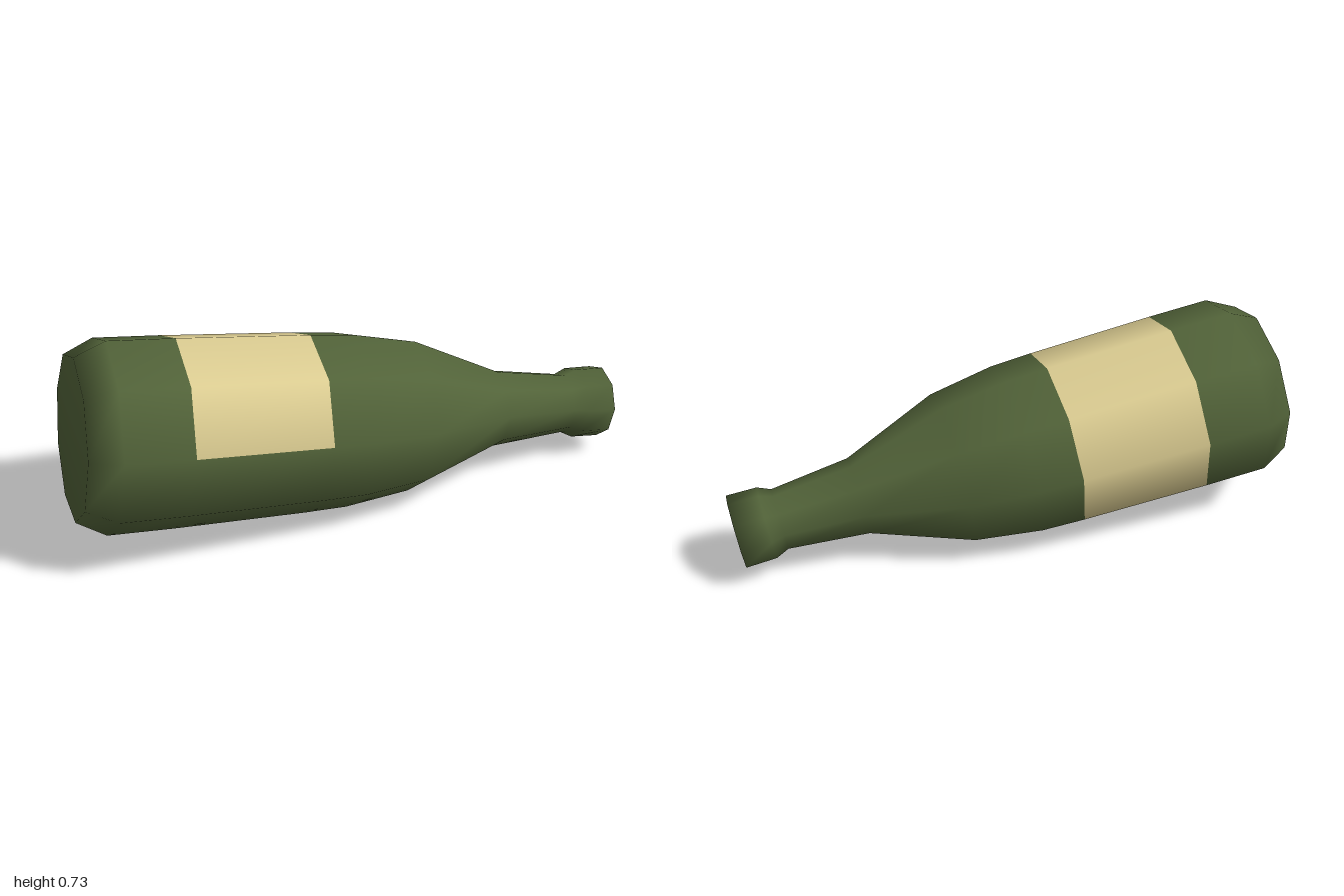
import * as THREE from 'three';

const SIDES = 9;
const CENTRE = new THREE.Vector3(-0.843, 0.409, -0.061); // middle of the widest ring
const AXIS = new THREE.Vector3(0.978, -0.128, 0.166).normalize();

// Profile as [x position of ring centre, radius], from base to mouth
const PROFILE = [
  [-0.942, 0], [-0.942, 0.28],          // base
  [-0.843, 0.332],                      // base bevel
  [-0.622, 0.33], [-0.171, 0.319],      // label edges
  [-0.02, 0.312], [0.21, 0.275],        // shoulder
  [0.545, 0.14], [0.82, 0.11],          // neck
  [0.865, 0.13], [0.97, 0.132],         // lip
  [0.97, 0],                            // mouth
];
const LABEL_BAND = 3;   // profile band that carries the label
const BARE_SIDES = 2;   // sides of that band left without label

export function createModel() {
  const glass = new THREE.MeshStandardMaterial({ color: 0x526339 });
  glass.name = 'greenGlass';
  const paper = new THREE.MeshStandardMaterial({ color: 0xdccd92 });
  paper.name = 'labelPaper';

  // Smooth nine-sided body, turned around its own axis
  const points = PROFILE.map(([x, r]) => new THREE.Vector2(r, (x - CENTRE.x) / AXIS.x));
  const geometry = new THREE.LatheGeometry(points, SIDES, THREE.MathUtils.degToRad(-12.4));

  // Label wraps all but two sides of its band
  const bands = PROFILE.length - 1;
  for (let side = 0; side < SIDES; side++) {
    const start = side * bands * 6;
    const labelled = side >= BARE_SIDES ? 1 : 0;
    geometry.addGroup(start, LABEL_BAND * 6, 0);
    geometry.addGroup(start + LABEL_BAND * 6, 6, labelled);
    geometry.addGroup(start + (LABEL_BAND + 1) * 6, (bands - LABEL_BAND - 1) * 6, 0);
  }

  const bottle = new THREE.Mesh(geometry, [glass, paper]);
  bottle.name = 'bottleWithLabel';

  // Lay the bottle down, neck toward +x and slightly forward
  const zDir = new THREE.Vector3(0, 0, 1).addScaledVector(AXIS, -AXIS.z).normalize();
  const xDir = new THREE.Vector3().crossVectors(AXIS, zDir);
  bottle.quaternion.setFromRotationMatrix(new THREE.Matrix4().makeBasis(xDir, AXIS, zDir));
  bottle.position.copy(CENTRE);

  const group = new THREE.Group();
  group.name = 'lyingBottle';
  group.add(bottle);
  return group;
}
